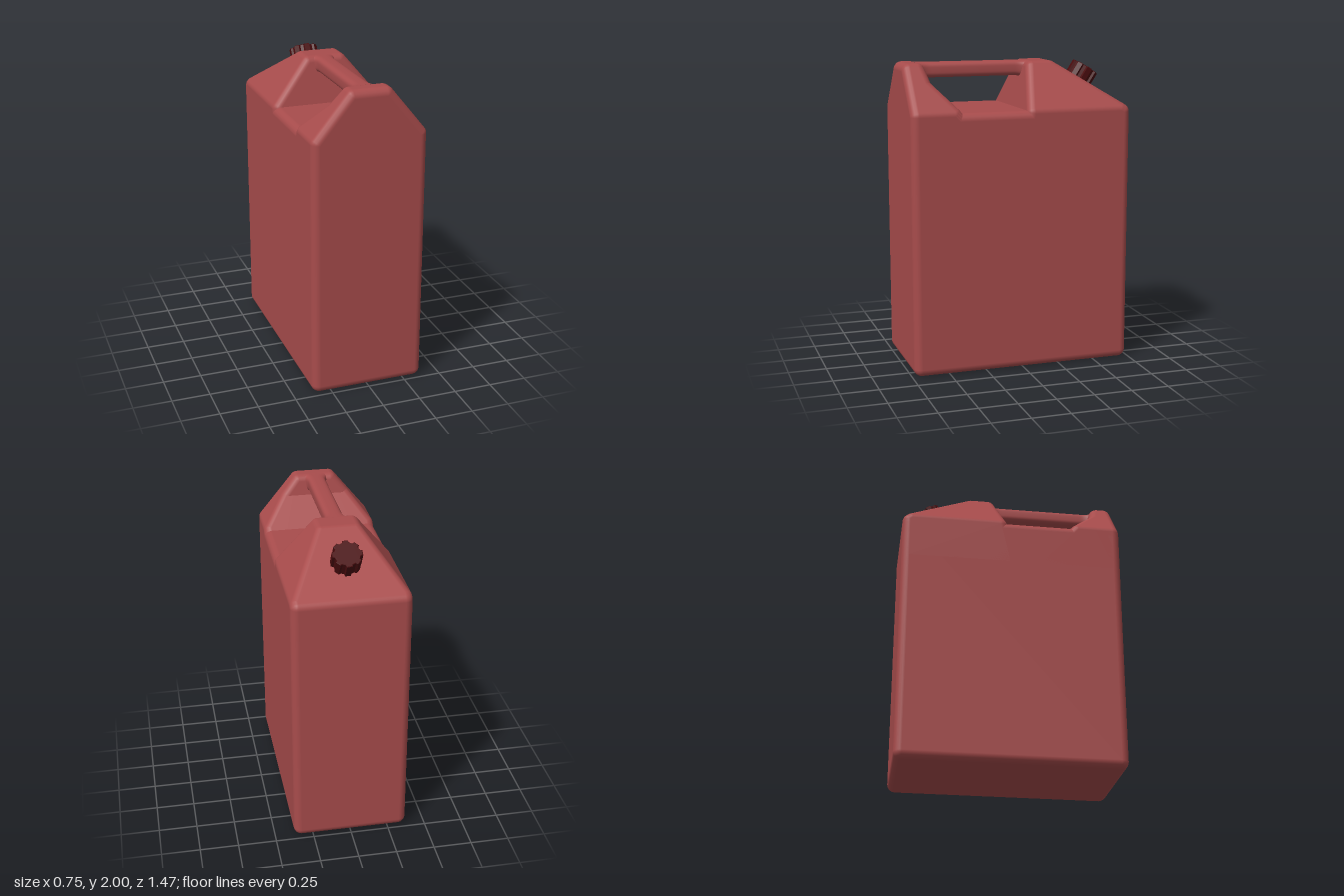
import * as THREE from 'three';
import { ConvexGeometry } from 'three/addons/geometries/ConvexGeometry.js';

const red = new THREE.MeshStandardMaterial({ color: 0xa84c4c });
const dark = new THREE.MeshStandardMaterial({ color: 0x4a0c0e });
const V = (x, y, z) => new THREE.Vector3(x, y, z);

// Half-space with outward normal n, passing through point p
function plane(n, p) {
  n.normalize();
  return { n, d: n.dot(p) };
}

// Convex solid bounded by planes, with every edge rounded to radius r
function roundedSolid(planes, r = 0.05, steps = 5) {
  const points = new Map();
  const count = planes.length;
  const round = (v) => Math.fround(Math.round(v * 1e5) / 1e5);
  for (let i = 0; i < count; i++)
    for (let j = i + 1; j < count; j++)
      for (let k = j + 1; k < count; k++) {
        const [a, b, c] = [planes[i], planes[j], planes[k]];
        const bc = b.n.clone().cross(c.n);
        const det = a.n.dot(bc);
        if (Math.abs(det) < 1e-6) continue;
        // Corner of the solid shrunk by r
        const corner = bc.multiplyScalar(a.d - r)
          .addScaledVector(c.n.clone().cross(a.n), b.d - r)
          .addScaledVector(a.n.clone().cross(b.n), c.d - r)
          .divideScalar(det);
        if (planes.some((q) => q.n.dot(corner) > q.d - r + 1e-6)) continue;
        // Patch of a sphere between the three face normals
        for (let u = 0; u <= steps; u++)
          for (let v = 0; v <= steps - u; v++) {
            const dir = a.n.clone().multiplyScalar(u)
              .addScaledVector(b.n, v)
              .addScaledVector(c.n, steps - u - v).normalize();
            const p = corner.clone().addScaledVector(dir, r);
            p.set(round(p.x), round(p.y), round(p.z));
            points.set(`${p.x},${p.y},${p.z}`, { p, dir });
          }
      }
  const geo = new ConvexGeometry([...points.values()].map((q) => q.p));
  const pos = geo.attributes.position, nor = geo.attributes.normal;
  for (let i = 0; i < pos.count; i++) {
    const hit = points.get(`${pos.getX(i)},${pos.getY(i)},${pos.getZ(i)}`);
    if (hit) nor.setXYZ(i, hit.dir.x, hit.dir.y, hit.dir.z);
  }
  return geo;
}

const W = 0.375, D = 0.735, SHOULDER = 1.7, TOP = 2;

// Outer walls between two heights
const walls = (bottom, top) => [
  plane(V(1, 0, 0), V(W, 0, 0)), plane(V(-1, 0, 0), V(-W, 0, 0)),
  plane(V(0, 0, 1), V(0, 0, D)), plane(V(0, 0, -1), V(0, 0, -D)),
  plane(V(0, 1, 0), V(0, top, 0)), plane(V(0, -1, 0), V(0, bottom, 0)),
];

// Upper part: walls plus the two sloping shoulders
const upper = () => [
  ...walls(1.35, TOP),
  ...[1, -1].map((s) => plane(V(s * 0.3, 0.245, 0), V(s * W, SHOULDER, 0))),
];

// Handle: swept bar with rounded-square section, flaring into the body at both ends
function handleGeometry() {
  const length = 0.76, geo = new THREE.CylinderGeometry(1, 1, length, 40, 48, true);
  geo.rotateX(Math.PI / 2);
  const pos = geo.attributes.position;
  const soft = (v) => Math.sign(v) * Math.pow(Math.abs(v), 0.6);
  for (let i = 0; i < pos.count; i++) {
    const z = pos.getZ(i);
    const t = Math.max(0, (Math.abs(z) - 0.29) / (length / 2 - 0.29));
    const flare = 0.06 * (1 - Math.sqrt(1 - Math.min(1, t) ** 2));
    const x = soft(pos.getX(i)) * (0.06 + flare);
    const sy = soft(pos.getY(i));
    const y = sy > 0 ? sy * 0.05 : sy * (0.05 + flare);
    pos.setXYZ(i, x - 0.008, y + 1.95, z + 0.245);
  }
  geo.computeVertexNormals();
  // Weld the shading along the seam
  const nor = geo.attributes.normal;
  for (let row = 0; row <= 48; row++) {
    const a = row * 41, b = a + 40;
    const n = V(nor.getX(a) + nor.getX(b), nor.getY(a) + nor.getY(b), nor.getZ(a) + nor.getZ(b)).normalize();
    nor.setXYZ(a, n.x, n.y, n.z);
    nor.setXYZ(b, n.x, n.y, n.z);
  }
  return geo;
}

// Cap: toothed disc with a slightly bevelled rim
function capGeometry() {
  const teeth = 8, outline = [];
  for (let i = 0; i < teeth; i++)
    for (const [f, r] of [[-0.3, 0.078], [-0.2, 0.091], [0.2, 0.091], [0.3, 0.078]]) {
      const a = ((i + f) / teeth) * Math.PI * 2 + Math.PI / 2;
      outline.push(new THREE.Vector2(Math.cos(a) * r, Math.sin(a) * r));
    }
  return new THREE.ExtrudeGeometry(new THREE.Shape(outline), {
    depth: 0.115, bevelEnabled: true, bevelThickness: 0.004, bevelSize: 0.004, bevelSegments: 1,
  });
}

export function createModel() {
  const group = new THREE.Group();
  const add = (name, geo, material = red) => {
    const mesh = new THREE.Mesh(geo, material);
    mesh.name = name;
    group.add(mesh);
    return mesh;
  };

  add('tank', roundedSolid(walls(0, SHOULDER)));

  // Spout end: sloping panel for the cap, steep face towards the handle opening
  add('spoutShoulder', roundedSolid([
    ...upper(),
    plane(V(0, 0.465, -0.3), V(0, TOP, -0.27)),
    plane(V(0, 0.23, 1), V(0, SHOULDER, -0.03)),
  ]));

  // Other end: shallow ramp below, steep handle mount above
  add('ramp', roundedSolid([...upper(), plane(V(0, 0.94, -1), V(0, SHOULDER, 0.4))]));
  add('handleMount', roundedSolid([...upper(), plane(V(0, 0.25, -1), V(0, 1.88, 0.565))]));

  add('handle', handleGeometry());

  const cap = add('cap', capGeometry(), dark);
  cap.rotation.x = Math.atan2(-0.84, -0.542);
  cap.position.set(0, 1.842, -0.49);
  return group;
}
